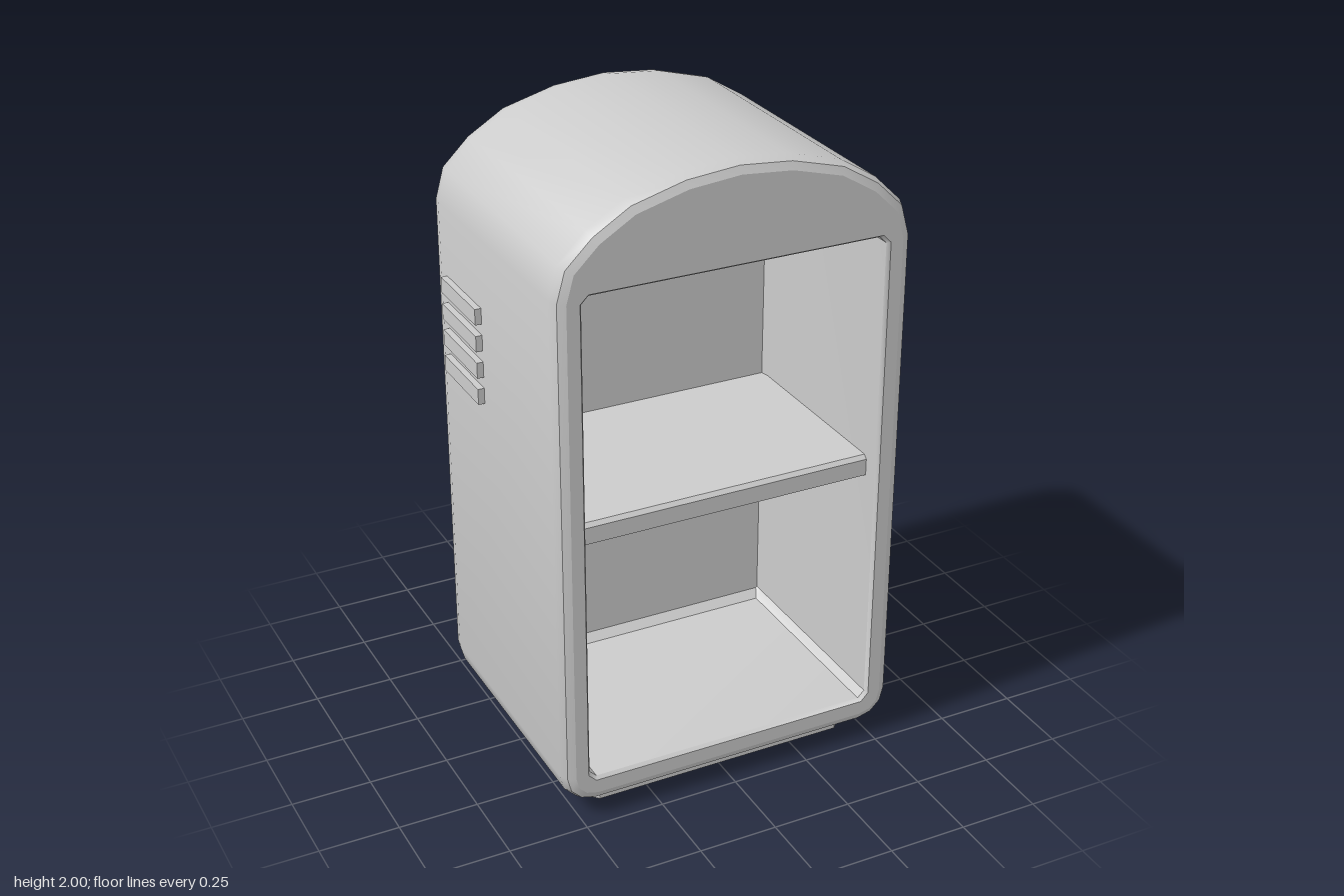
import * as THREE from 'three';
import { toCreasedNormals } from 'three/addons/utils/BufferGeometryUtils.js';

const X0 = 0.007; // cabinet axis; the side vents push it slightly off centre

// Half of the arched outline, bottom to top, mirrored into a counter-clockwise loop
function outlinePoints() {
  const half = [];
  for (let i = 0; i <= 3; i++) {
    const a = -Math.PI / 2 + (i * Math.PI) / 6;
    half.push([0.457 + 0.1 * Math.cos(a), 0.15 + 0.1 * Math.sin(a)]);
  }
  half.push([0.557, 1.69], [0.53, 1.787], [0.445, 1.87], [0.33, 1.94], [0.164, 1.985]);
  const left = half.map(([x, y]) => [-x, y]).reverse();
  return [...half, [0, 2], ...left].map(([x, y]) => new THREE.Vector2(x, y));
}

// Shrink a counter-clockwise polygon by d with mitred corners
function inset(points, d) {
  const n = points.length;
  const normal = (a, b) => new THREE.Vector2(b.y - a.y, a.x - b.x).normalize();
  return points.map((p, i) => {
    const n1 = normal(points[(i + n - 1) % n], p);
    const n2 = normal(p, points[(i + 1) % n]);
    return p.clone().addScaledVector(n1.clone().add(n2), -d / (1 + n1.dot(n2)));
  });
}

function chamferedRect(w, y0, y1, c) {
  return [[w - c, y0], [w, y0 + c], [w, y1 - c], [w - c, y1],
    [c - w, y1], [-w, y1 - c], [-w, y0 + c], [c - w, y0]].map(([x, y]) => new THREE.Vector2(x, y));
}

// Skin cross-sections from front to back and close the back with a fan
function loft(sections, inward = false) {
  const last = sections[sections.length - 1];
  const rings = sections.map(({ pts, z }) => pts.map((p) => new THREE.Vector3(p.x, p.y, z)));
  const centre = new THREE.Vector3(0, 1, last.z);
  const pos = [];
  const tri = (a, b, c) => (inward ? [a, c, b] : [a, b, c]).forEach((v) => pos.push(v.x, v.y, v.z));
  rings.forEach((a, r) => {
    const b = rings[r + 1];
    a.forEach((p, i) => {
      const j = (i + 1) % a.length;
      if (!b) return tri(p, centre, a[j]);
      tri(p, b[i], b[j]);
      tri(p, b[j], a[j]);
    });
  });
  const geo = new THREE.BufferGeometry();
  geo.setAttribute('position', new THREE.Float32BufferAttribute(pos, 3));
  return toCreasedNormals(geo, 0.65);
}

export function createModel() {
  const group = new THREE.Group();
  const material = new THREE.MeshStandardMaterial({ color: 0xcccccc });
  const add = (name, geo, x = X0, y = 0, z = 0) => {
    const mesh = new THREE.Mesh(geo, material);
    mesh.name = name;
    mesh.position.set(x, y, z);
    group.add(mesh);
    return mesh;
  };

  // Outer shell: small front bevel, broad rounding at the back
  const outline = outlinePoints();
  const sections = [[0.462, 0.035], [0.45, 0.012], [0.42, 0]].map(([z, d]) => ({ pts: inset(outline, d), z }));
  for (let i = 0; i <= 4; i++) {
    const a = (i * Math.PI) / 8;
    sections.push({ pts: inset(outline, 0.098 * (1 - Math.cos(a))), z: -0.365 - 0.098 * Math.sin(a) });
  }
  add('shell', loft(sections));

  // Front frame around the opening
  const opening = chamferedRect(0.482, 0.13, 1.705, 0.025);
  const frame = new THREE.Shape(inset(outline, 0.035));
  frame.holes.push(new THREE.Path(opening));
  add('frontFrame', new THREE.ShapeGeometry(frame), X0, 0, 0.462);

  // Cavity lining with chamfered floor and ceiling at the back
  const lining = chamferedRect(0.474, 0.138, 1.697, 0.022);
  add('cavity', loft([
    { pts: opening, z: 0.462 },
    { pts: lining, z: 0.45 },
    { pts: lining, z: -0.21 },
    { pts: chamferedRect(0.468, 0.163, 1.677, 0.004), z: -0.235 },
  ], true));

  // Shelf with a bevelled front top edge, profile drawn in z and y
  const shelf = new THREE.Shape([[0.4, 0.905], [0.4, 0.958], [0.388, 0.97], [-0.235, 0.97], [-0.235, 0.905]]
    .map(([z, y]) => new THREE.Vector2(-z, y)));
  const shelfGeo = new THREE.ExtrudeGeometry(shelf, { depth: 0.95, bevelEnabled: false });
  shelfGeo.translate(0, 0, -0.475).rotateY(Math.PI / 2);
  add('shelf', shelfGeo);

  // Plinth with chamfered corners
  const plinth = new THREE.Shape(chamferedRect(0.439, -0.365, 0.365, 0.028));
  const plinthGeo = new THREE.ExtrudeGeometry(plinth, { depth: 0.06, bevelEnabled: false });
  plinthGeo.rotateX(-Math.PI / 2);
  add('plinth', plinthGeo, X0 - 0.003, 0, 0.025);

  // Vent slats on the right side
  for (let i = 0; i < 4; i++) {
    add('ventSlat', new THREE.BoxGeometry(0.03, 0.05, 0.26), -0.555, 1.195 + i * 0.085, -0.19);
  }
  return group;
}
